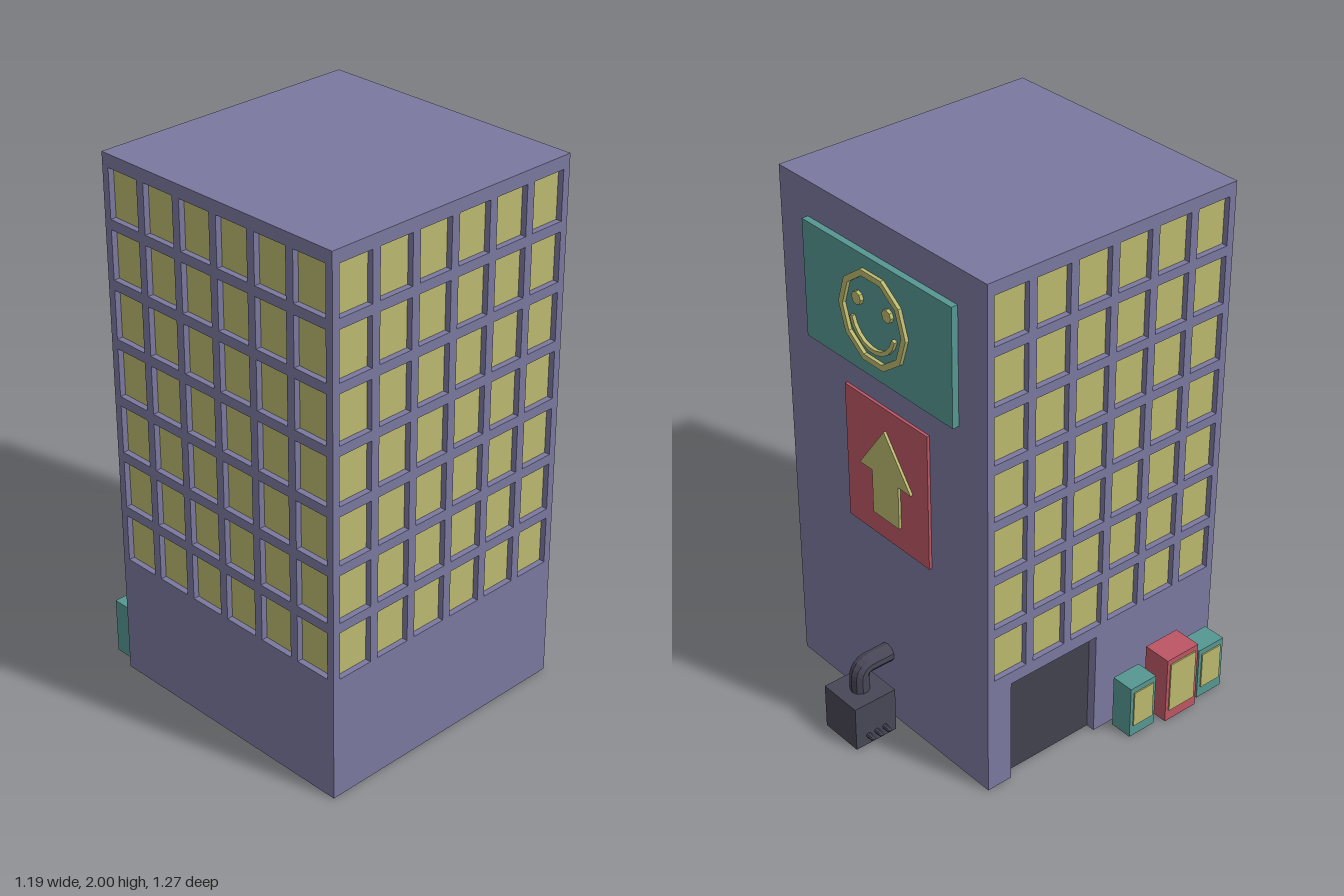
import * as THREE from 'three';
import { mergeGeometries } from 'three/addons/utils/BufferGeometryUtils.js';

const mat = (color) => new THREE.MeshStandardMaterial({ color, side: THREE.DoubleSide, flatShading: true });

const HALF = 0.5275, HEIGHT = 2, CX = 0.0675, CZ = 0.1075;
const RECESS = 0.022;

function add(parent, name, geometry, material, x = 0, y = 0, z = 0) {
  const mesh = new THREE.Mesh(geometry, material);
  mesh.name = name;
  mesh.position.set(x, y, z);
  parent.add(mesh);
  return mesh;
}

// Box given by its two extreme corners
function block(parent, name, material, [x0, y0, z0], [x1, y1, z1]) {
  const g = new THREE.BoxGeometry(x1 - x0, y1 - y0, z1 - z0);
  return add(parent, name, g, material, (x0 + x1) / 2, (y0 + y1) / 2, (z0 + z1) / 2);
}

// Sides of a recess: one quad going back from each segment of the path
function reveal(points, depth) {
  const pos = [];
  for (let i = 0; i < points.length - 1; i++) {
    const [ax, ay] = points[i], [bx, by] = points[i + 1];
    pos.push(ax, ay, 0, bx, by, 0, bx, by, -depth, ax, ay, 0, bx, by, -depth, ax, ay, -depth);
  }
  const g = new THREE.BufferGeometry();
  g.setAttribute('position', new THREE.Float32BufferAttribute(pos, 3));
  g.computeVertexNormals();
  return g;
}

// One outer wall facing local +z, with optional window grid and doorway
function makeWall(name, m, hasWindows, door) {
  const wall = new THREE.Group();
  wall.name = name;
  const outline = [[-HALF, 0]];
  const reveals = [], panes = [];
  if (door) {
    const [x0, x1, top, depth] = door;
    const arch = [[x0, 0], [x0, top], [x1, top], [x1, 0]];
    outline.push(...arch);
    reveals.push(reveal(arch, depth));
    add(wall, 'door', new THREE.PlaneGeometry(x1 - x0, top), m.door, (x0 + x1) / 2, top / 2, -depth);
  }
  outline.push([HALF, 0], [HALF, HEIGHT], [-HALF, HEIGHT]);
  const shape = new THREE.Shape(outline.map(([x, y]) => new THREE.Vector2(x, y)));

  if (hasWindows) {
    const w = 0.139, h = 0.18;
    for (let row = 0; row < 7; row++) {
      for (let col = 0; col < 6; col++) {
        const x = (col - 2.5) * 0.1717, y = 0.56 + row * 0.217;
        const l = x - w / 2, r = x + w / 2, b = y - h / 2, t = y + h / 2;
        const loop = [[l, b], [l, t], [r, t], [r, b], [l, b]];
        shape.holes.push(new THREE.Path(loop.slice(0, 4).map(([u, v]) => new THREE.Vector2(u, v))));
        reveals.push(reveal(loop, RECESS));
        panes.push(new THREE.PlaneGeometry(w, h).translate(x, y, -RECESS));
      }
    }
    add(wall, 'windowPanes', mergeGeometries(panes), m.yellow);
  }
  add(wall, 'wallFace', new THREE.ShapeGeometry(shape), m.wall);
  if (reveals.length) add(wall, 'openingEdges', mergeGeometries(reveals), m.wall);
  return wall;
}

// Flat bar following an arc in the xy plane
function arcBand(outer, inner, start, end, steps, depth) {
  const s = new THREE.Shape();
  const at = (r, i) => {
    const a = start + (end - start) * i / steps;
    return [r * Math.cos(a), r * Math.sin(a)];
  };
  s.moveTo(...at(outer, 0));
  for (let i = 1; i <= steps; i++) s.lineTo(...at(outer, i));
  for (let i = steps; i >= 0; i--) s.lineTo(...at(inner, i));
  return new THREE.ExtrudeGeometry(s, { depth, bevelEnabled: false });
}

export function createModel() {
  const model = new THREE.Group();
  const m = {
    wall: mat(0x7a789e), yellow: mat(0xbab86e), teal: mat(0x569791),
    red: mat(0xbc5664), dark: mat(0x484656), door: mat(0x42414e),
  };

  // Building shell, open underneath
  const building = new THREE.Group();
  building.name = 'building';
  building.position.set(CX, 0, CZ);
  model.add(building);
  const walls = [
    ['frontWall', 0, true, null],
    ['leftWall', Math.PI / 2, true, null],
    ['backWall', Math.PI, false, null],
    ['rightWall', -Math.PI / 2, true, [-0.425, -0.035, 0.42, 0.035]],
  ];
  for (const [name, turn, windows, door] of walls) {
    const wall = makeWall(name, m, windows, door);
    wall.rotation.y = turn;
    wall.position.set(Math.sin(turn) * HALF, 0, Math.cos(turn) * HALF);
    building.add(wall);
  }
  add(building, 'roof', new THREE.PlaneGeometry(2 * HALF, 2 * HALF).rotateX(-Math.PI / 2), m.wall, 0, HEIGHT, 0);

  // Billboard with a smiling face on the back wall
  block(model, 'faceBillboard', m.teal, [-0.32, 1.43, -0.445], [0.445, 1.87, -0.42]);
  const face = new THREE.Group();
  face.name = 'smilingFace';
  face.position.set(0.07, 1.655, -0.458);
  model.add(face);
  add(face, 'faceRing', arcBand(0.175, 0.152, 0, Math.PI * 2, 10, 0.014), m.yellow);
  add(face, 'mouth', arcBand(0.122, 0.106, Math.PI * 1.08, Math.PI * 1.92, 9, 0.014), m.yellow);
  for (const side of [-1, 1]) {
    const eye = new THREE.CylinderGeometry(0.024, 0.024, 0.014, 8).rotateX(Math.PI / 2);
    add(face, 'eye', eye, m.yellow, side * 0.078, 0.05, 0.007);
  }

  // Red sign with an upward arrow
  block(model, 'arrowSign', m.red, [-0.17, 0.79, -0.431], [0.265, 1.32, -0.42]);
  const arrow = new THREE.Shape([
    [-0.07, 0.88], [0.07, 0.88], [0.07, 1.05], [0.137, 1.05],
    [0, 1.235], [-0.137, 1.05], [-0.07, 1.05],
  ].map(([x, y]) => new THREE.Vector2(x, y)));
  add(model, 'arrow', new THREE.ExtrudeGeometry(arrow, { depth: 0.01, bevelEnabled: false }), m.yellow, 0.047, 0, -0.441);

  // Utility box with a bent pipe into the wall and three small pegs
  block(model, 'utilityBox', m.dark, [0.003, 0, -0.637], [0.18, 0.18, -0.46]);
  const path = new THREE.CurvePath();
  const v = (y, z) => new THREE.Vector3(0.09, y, z);
  path.add(new THREE.LineCurve3(v(0.1, -0.549), v(0.235, -0.549)));
  path.add(new THREE.QuadraticBezierCurve3(v(0.235, -0.549), v(0.278, -0.549), v(0.278, -0.505)));
  path.add(new THREE.LineCurve3(v(0.278, -0.505), v(0.278, -0.415)));
  add(model, 'pipe', new THREE.TubeGeometry(path, 24, 0.036, 10, false), m.dark);
  for (const z of [-0.583, -0.547, -0.511]) {
    const peg = new THREE.CapsuleGeometry(0.01, 0.035, 3, 8).rotateZ(Math.PI / 2);
    add(model, 'peg', peg, m.dark, -0.003, 0.04, z);
  }

  // Row of vending machines beside the doorway
  const machines = [
    [0.145, 0.265, 0.215, -0.57, m.teal],
    [0.3, 0.45, 0.275, -0.591, m.red],
    [0.48, 0.6, 0.215, -0.57, m.teal],
  ];
  for (const [z0, z1, top, x, material] of machines) {
    const machine = new THREE.Group();
    machine.name = 'vendingMachine';
    model.add(machine);
    block(machine, 'machineBody', material, [x, 0, z0], [-0.48, top, z1]);
    block(machine, 'machinePanel', m.yellow, [x - 0.005, 0.045, z0 + 0.014], [x, top - 0.022, z1 - 0.014]);
  }
  return model;
}
